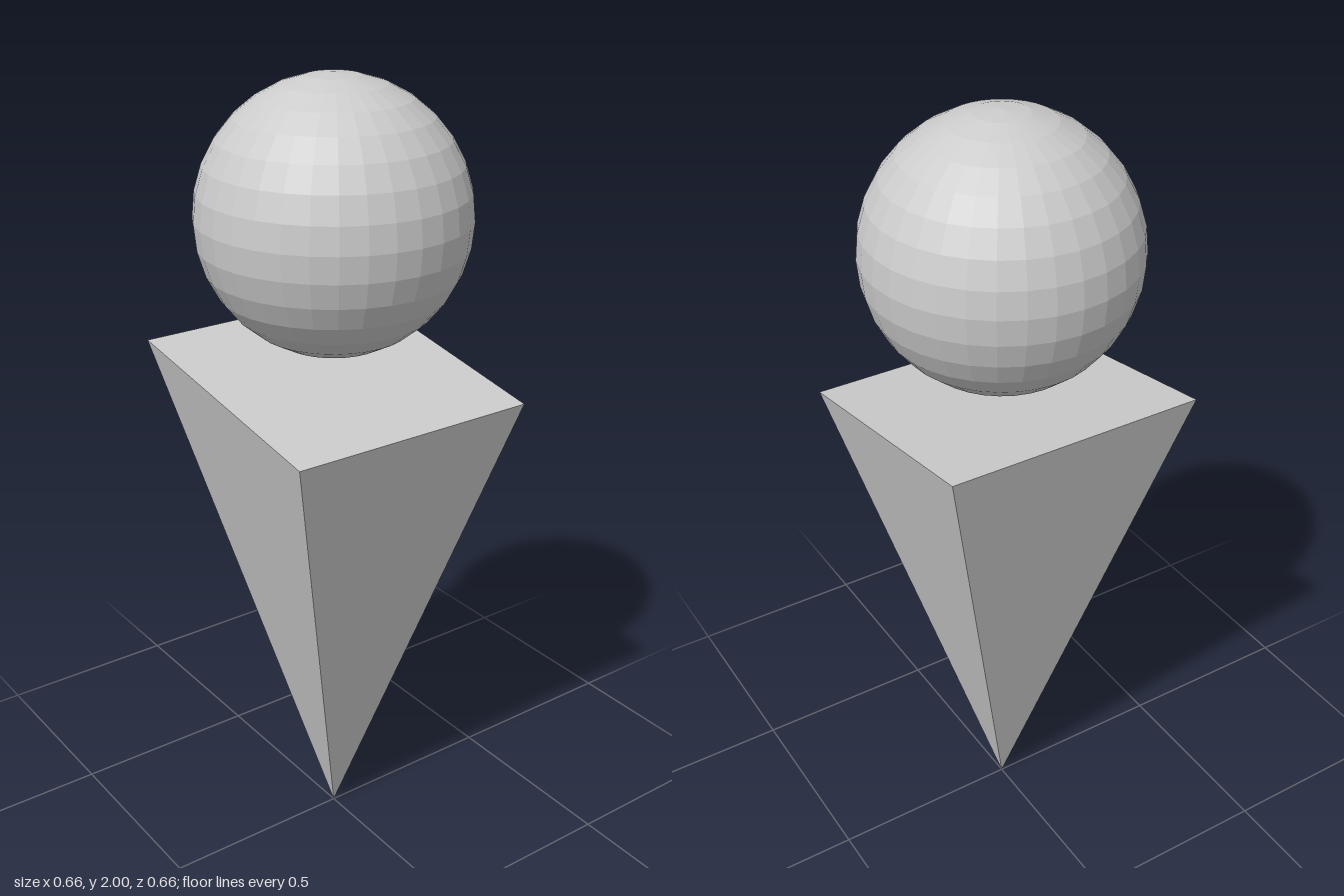
import * as THREE from 'three';

const RADIUS = 0.329;      // ball radius and half width of the pyramid top
const TOP_MIDDLE = 1.285;  // height of the slanted top at its centre
const SLOPE = 0.167;       // rise of the top towards the back

export function createModel() {
  const group = new THREE.Group();
  const material = new THREE.MeshStandardMaterial({ color: 0xcccccc, flatShading: true });

  // Upside-down square pyramid standing on its tip
  const pyramid = new THREE.ConeGeometry(RADIUS * Math.SQRT2, TOP_MIDDLE, 4, 1, false, Math.PI / 4);
  pyramid.rotateX(Math.PI).translate(0, TOP_MIDDLE / 2, 0);

  // Shear it so the top slopes down to the front; the tip stays in place
  const position = pyramid.attributes.position;
  for (let i = 0; i < position.count; i++) {
    position.setY(i, position.getY(i) - SLOPE * position.getZ(i));
  }
  pyramid.computeVertexNormals();
  const body = new THREE.Mesh(pyramid, material);
  body.name = 'body';
  group.add(body);

  // Faceted ball floating just above the body
  const head = new THREE.Mesh(new THREE.SphereGeometry(RADIUS, 32, 16), material);
  head.name = 'head';
  head.position.y = 2 - RADIUS;
  group.add(head);

  return group;
}
